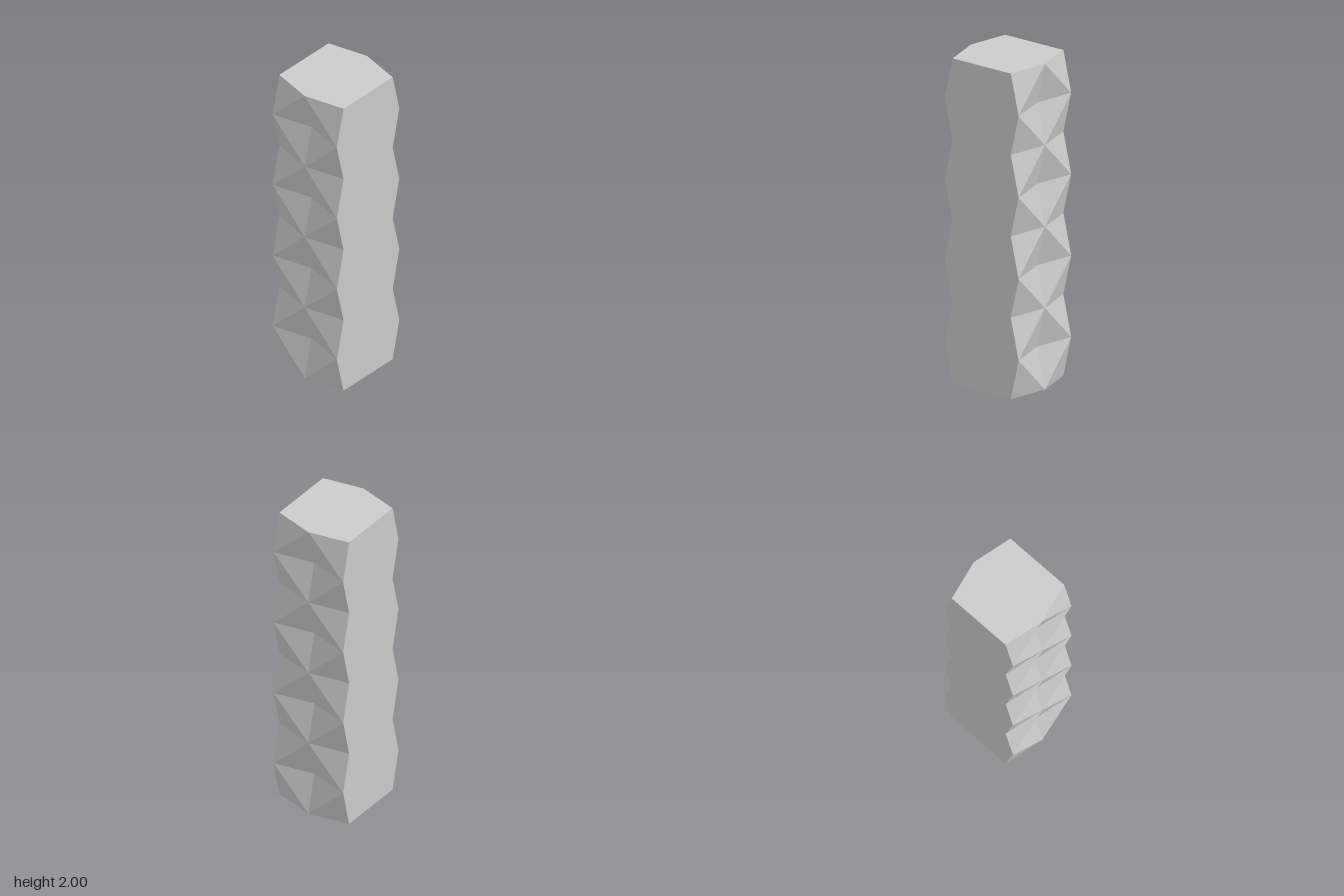
import * as THREE from 'three';

const HALF_WIDTH = 0.25, STEP = 0.25, ROWS = 8;
const RIDGE = 0.268, VALLEY = 0.211;

// depth alternates between ridge and valley like a chequerboard
const depth = (col, row) => ((col + row) % 2 === 0 ? RIDGE : VALLEY);
const point = (col, row) => [col * HALF_WIDTH, row * STEP, depth(col, row)];

// folded panel: every cell is creased along the diagonal joining its two ridge corners
function foldedPanel() {
  const positions = [];
  for (let row = 0; row < ROWS; row++) {
    for (let col = -1; col < 1; col++) {
      const a = point(col, row), b = point(col + 1, row);
      const c = point(col + 1, row + 1), d = point(col, row + 1);
      const corners = (col + row) % 2 === 0 ? [a, b, c, a, c, d] : [a, b, d, b, c, d];
      positions.push(...corners.flat());
    }
  }
  const geometry = new THREE.BufferGeometry();
  geometry.setAttribute('position', new THREE.Float32BufferAttribute(positions, 3));
  geometry.computeVertexNormals();
  return geometry;
}

// flat side with zigzag front and back edges
function sidePanel() {
  const outline = [];
  for (let row = 0; row <= ROWS; row++) outline.push(new THREE.Vector2(depth(1, row), row * STEP));
  for (let row = ROWS; row >= 0; row--) outline.push(new THREE.Vector2(-depth(1, row), row * STEP));
  return new THREE.ShapeGeometry(new THREE.Shape(outline));
}

// six-sided end cap
function endCap() {
  const outline = [[-1, -VALLEY], [0, -RIDGE], [1, -VALLEY], [1, VALLEY], [0, RIDGE], [-1, VALLEY]];
  return new THREE.ShapeGeometry(
    new THREE.Shape(outline.map(([x, z]) => new THREE.Vector2(x * HALF_WIDTH, z))));
}

export function createModel() {
  const group = new THREE.Group();
  group.name = 'foldedColumn';
  const material = new THREE.MeshStandardMaterial({ color: 0xcccccc, flatShading: true });

  const add = (name, geometry) => {
    const mesh = new THREE.Mesh(geometry, material);
    mesh.name = name;
    group.add(mesh);
    return mesh;
  };

  // folded front and back
  add('frontPanel', foldedPanel());
  add('backPanel', foldedPanel()).rotation.y = Math.PI;

  // flat sides
  for (const [name, side] of [['leftSide', 1], ['rightSide', -1]]) {
    const mesh = add(name, sidePanel());
    mesh.rotation.y = side * Math.PI / 2;
    mesh.position.x = side * HALF_WIDTH;
  }

  // top and bottom
  const top = add('topCap', endCap());
  top.rotation.x = -Math.PI / 2;
  top.position.y = ROWS * STEP;
  add('bottomCap', endCap()).rotation.x = Math.PI / 2;

  return group;
}
